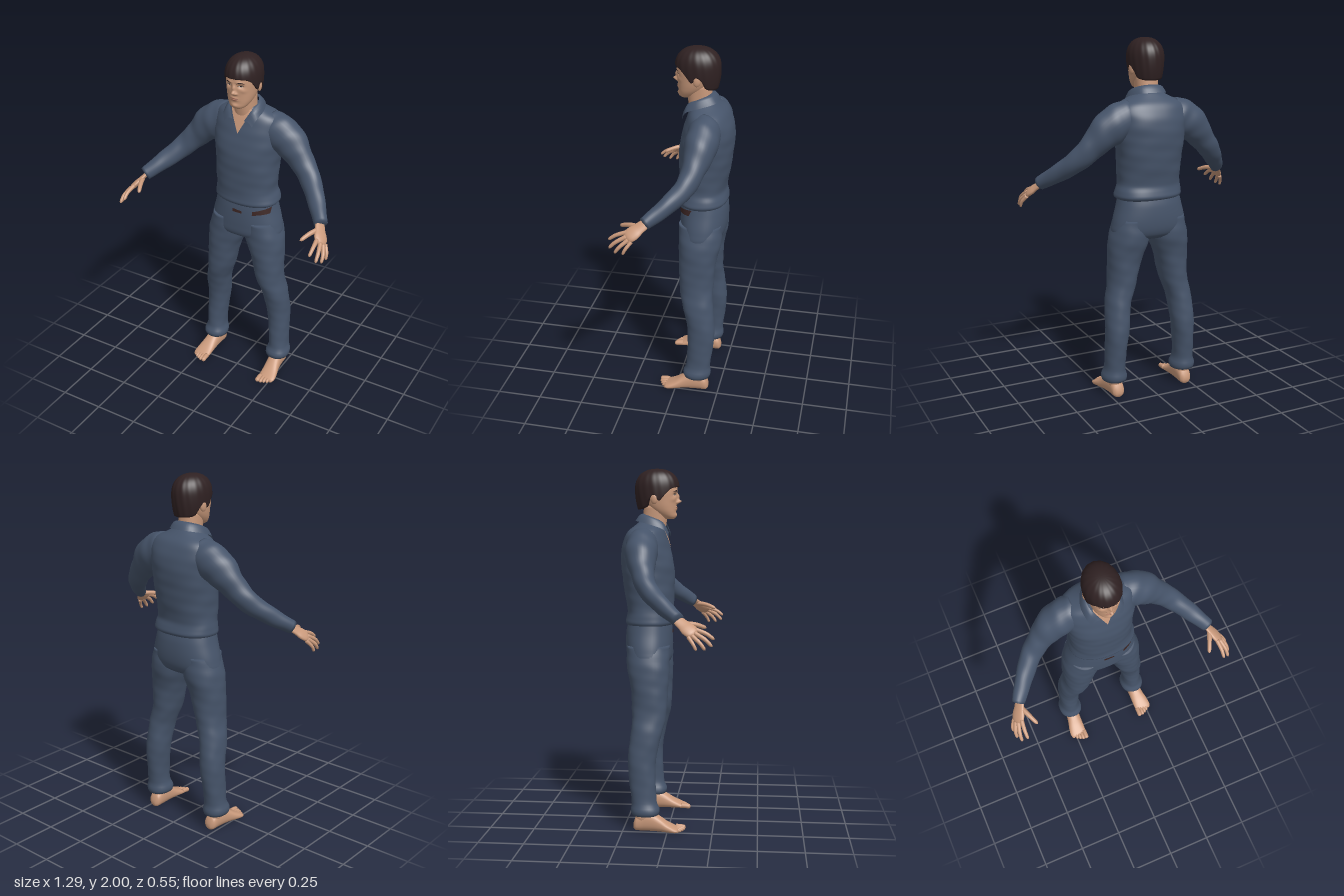
import * as THREE from 'three';

const paint = (name, color) => {
  const m = new THREE.MeshStandardMaterial({ color });
  m.name = name;
  return m;
};
const V = (x, y, z) => new THREE.Vector3(x, y, z);

// Smooth interpolation of rows [key, ...values], sorted by key
function spline(rows) {
  const slope = (i, c) => {
    const a = rows[Math.max(i - 1, 0)], b = rows[Math.min(i + 1, rows.length - 1)];
    return (b[c] - a[c]) / (b[0] - a[0]);
  };
  return (k) => {
    k = Math.min(Math.max(k, rows[0][0]), rows[rows.length - 1][0]);
    let i = 0;
    while (i < rows.length - 2 && k > rows[i + 1][0]) i++;
    const h = rows[i + 1][0] - rows[i][0], t = (k - rows[i][0]) / h, t2 = t * t, t3 = t2 * t;
    return rows[0].slice(1).map((_, j) => {
      const c = j + 1;
      return rows[i][c] * (2 * t3 - 3 * t2 + 1) + rows[i + 1][c] * (3 * t2 - 2 * t3)
        + h * (slope(i, c) * (t3 - 2 * t2 + t) + slope(i + 1, c) * (t3 - t2));
    });
  };
}

// Closed skin around rings given by fn(t, angle), with both ends capped
function skin(rows, n, fn) {
  const pos = [], idx = [], mid = [V(0, 0, 0), V(0, 0, 0)];
  for (let i = 0; i <= rows; i++) for (let j = 0; j < n; j++) {
    const p = fn(i / rows, (j / n) * Math.PI * 2);
    pos.push(p.x, p.y, p.z);
    if (i === 0) mid[0].addScaledVector(p, 1 / n);
    if (i === rows) mid[1].addScaledVector(p, 1 / n);
  }
  mid.forEach((p) => pos.push(p.x, p.y, p.z));
  const end = (rows + 1) * n;
  for (let j = 0; j < n; j++) {
    const k = (j + 1) % n;
    for (let i = 0; i < rows; i++) {
      const a = i * n + j, b = i * n + k;
      idx.push(a, b, a + n, b, b + n, a + n);
    }
    idx.push(end, k, j, end + 1, rows * n + j, rows * n + k);
  }
  return finish(pos, idx);
}
function finish(pos, idx) {
  const g = new THREE.BufferGeometry();
  g.setAttribute('position', new THREE.Float32BufferAttribute(pos, 3));
  g.setIndex(idx);
  g.computeVertexNormals();
  return g;
}
const round = (c, p) => Math.sign(c) * Math.abs(c) ** (2 / p);

// Upright body from rows [y, centreX, halfWidth, frontZ, backZ]
function body(rows, { s = 1, p = 2.3, n = 48, steps = 50, fold = 0, bump = () => 0 } = {}) {
  const at = spline(rows), y0 = rows[0][0], y1 = rows[rows.length - 1][0];
  const geometry = skin(steps, n, (t, a) => {
    const y = y0 + (y1 - y0) * t, [cx, rx, zf, zb] = at(y);
    const f = 1 + fold * (Math.sin(3 * a + 31 * y) + 0.7 * Math.sin(5 * a - 47 * y) + 0.5 * Math.sin(2 * a + 90 * y));
    const x = s * cx + rx * f * round(Math.cos(a), p), dz = -(zf - zb) / 2 * f * round(Math.sin(a), p);
    return V(x, y, (zf + zb) / 2 + dz + (dz > 0 ? bump(x, y) : 0));
  });
  const front = (x, y, off) => {
    const [cx, rx, zf, zb] = at(y), q = Math.min(1, Math.abs((x - cx) / (rx + off)));
    return (zf + zb) / 2 + ((zf - zb) / 2 + off) * (1 - q ** p) ** (1 / p) + bump(x, y);
  };
  return { geometry, front };
}

// Limb along points [x, y, z, radius]; side is the direction of its width
function limb(pts, { s = 1, side = [1, 1, 0], flat = 1, n = 14, steps = 16, tip = 0.15, fold = 0 } = {}) {
  const at = spline(pts.map((q, i) => [i / (pts.length - 1), s * q[0], q[1], q[2], q[3]]));
  const w = V(s * side[0], side[1], side[2]);
  return skin(steps, n, (t, a) => {
    const [x, y, z, r] = at(t), e = 0.01;
    const d = V(...at(Math.min(1, t + e)).slice(0, 3)).sub(V(...at(Math.max(0, t - e)).slice(0, 3))).normalize();
    const u = w.clone().addScaledVector(d, -w.dot(d)).normalize(), v = d.clone().cross(u);
    const k = tip && t > 1 - tip ? Math.sqrt(Math.max(0.01, 1 - ((t - 1 + tip) / tip) ** 2)) : 1;
    const f = r * k * (1 + fold * (Math.sin(2 * a + 40 * t) + 0.6 * Math.sin(3 * a - 27 * t)));
    return V(x, y, z).addScaledVector(u, f * Math.cos(a)).addScaledVector(v, f * flat * Math.sin(a));
  });
}

// Thin painted patch lying on a front surface
function patch(front, x0, x1, low, high, off = 0.003, nx = 16, ny = 10) {
  const g = new THREE.PlaneGeometry(1, 1, nx, ny), p = g.attributes.position;
  for (let i = 0; i < p.count; i++) {
    const t = p.getX(i) + 0.5, x = x0 + (x1 - x0) * t;
    const y = low(t, x) + (high(t, x) - low(t, x)) * (p.getY(i) + 0.5);
    p.setXYZ(i, x, y, front(x, y, off));
  }
  g.computeVertexNormals();
  return g;
}

export function createModel() {
  const cloth = paint('navy cloth', 0x46546a), flesh = paint('skin', 0xc9997b), dark = paint('dark hair', 0x2f2122);
  const leather = paint('belt leather', 0x3c2624), lip = paint('lips', 0xac7461), white = paint('eye white', 0xcfc4ba);
  cloth.side = THREE.DoubleSide;
  const model = new THREE.Group();
  const add = (name, geometry, material) => {
    const m = new THREE.Mesh(geometry, material);
    m.name = name;
    model.add(m);
    return m;
  };

  // Shirt body, blousing over the waist
  const shirt = body([[1.135, 0.005, 0.172, 0.0, -0.235], [1.15, 0.007, 0.19, 0.016, -0.254], [1.18, 0.005, 0.187, 0.014, -0.25],
    [1.22, 0, 0.177, 0.014, -0.242], [1.3, 0, 0.179, 0.018, -0.255], [1.4, 0, 0.185, 0.019, -0.27], [1.48, 0, 0.194, 0.014, -0.277],
    [1.56, 0, 0.2, -0.004, -0.275], [1.62, 0, 0.198, -0.022, -0.258], [1.66, 0, 0.175, -0.035, -0.235],
    [1.69, 0, 0.115, -0.045, -0.2], [1.715, 0, 0.07, -0.05, -0.17]], { n: 64, steps: 70, fold: 0.006 });
  add('shirt', shirt.geometry, cloth);
  add('openNeck', patch(shirt.front, -0.06, 0.06, (t, x) => 1.572 + Math.abs(x) * 2, () => 1.705, 0.006), flesh);

  // Folded collar, open at the front
  const edges = [
    [[0, 1.755, -0.152], [0.05, 1.75, -0.138], [0.077, 1.733, -0.09], [0.066, 1.708, -0.04], [0.036, 1.65, -0.008]],
    [[0, 1.715, -0.198], [0.07, 1.712, -0.178], [0.108, 1.693, -0.1], [0.102, 1.665, -0.03], [0.085, 1.625, -0.008]],
  ].map((e) => new THREE.CatmullRomCurve3([...e.slice(1).reverse().map(([x, y, z]) => V(-x, y, z)), ...e.map((q) => V(...q))]));
  const collar = new THREE.PlaneGeometry(1, 1, 40, 4), cp = collar.attributes.position;
  for (let i = 0; i < cp.count; i++) {
    const t = cp.getX(i) + 0.5, k = 0.5 - cp.getY(i);
    const q = edges[0].getPoint(t).lerp(edges[1].getPoint(t), k);
    cp.setXYZ(i, q.x, q.y + 0.012 * Math.sin(Math.PI * k), q.z);
  }
  collar.computeVertexNormals();
  add('collar', collar, cloth);

  // Trousers: seat, then the exposed pieces of belt
  const seat = body([[0.915, 0, 0.16, -0.03, -0.2], [0.94, 0, 0.212, 0, -0.232], [1, 0, 0.212, 0.008, -0.25],
    [1.1, 0, 0.187, 0.007, -0.25], [1.17, 0, 0.172, 0, -0.235]], { n: 56, steps: 24 });
  add('trouserSeat', seat.geometry, cloth);
  add('beltFront', patch(seat.front, -0.024, 0.034, () => 1.092, (t) => 1.112 - 0.006 * t, 0.004), leather);
  add('beltSide', patch(seat.front, 0.094, 0.178, (t) => 1.09 + 0.01 * t, (t) => 1.112 + 0.022 * t, 0.004), leather);

  for (const s of [1, -1]) {
    const tag = s > 0 ? 'left' : 'right';
    // Leg, ankle, foot and toes
    add(tag + 'TrouserLeg', body([[0.095, 0.217, 0.066, -0.05, -0.198], [0.12, 0.218, 0.072, -0.043, -0.204], [0.16, 0.218, 0.058, -0.06, -0.2],
      [0.25, 0.215, 0.057, -0.066, -0.21], [0.4, 0.205, 0.065, -0.066, -0.222], [0.55, 0.19, 0.07, -0.034, -0.207],
      [0.65, 0.163, 0.077, -0.012, -0.202], [0.8, 0.142, 0.094, -0.004, -0.212], [0.92, 0.118, 0.111, 0.002, -0.235],
      [1.03, 0.108, 0.09, 0, -0.235]], { s, p: 2.15, n: 40, steps: 64, fold: 0.01 }).geometry, cloth);
    add(tag + 'Ankle', body([[0.05, 0.217, 0.036, -0.085, -0.178], [0.16, 0.217, 0.04, -0.085, -0.175]], { s, n: 24, steps: 4 }).geometry, flesh);
    const sole = spline([[-0.19, 0.215, 0.018, 0.012, 0.045], [-0.18, 0.215, 0.033, 0.002, 0.075], [-0.13, 0.216, 0.039, 0, 0.11],
      [-0.085, 0.219, 0.041, 0, 0.108], [-0.04, 0.223, 0.044, 0, 0.082], [0, 0.228, 0.049, 0, 0.055], [0.04, 0.231, 0.051, 0, 0.034],
      [0.062, 0.229, 0.046, 0.003, 0.024]]);
    add(tag + 'Foot', skin(28, 28, (t, a) => {
      const z = -0.19 + 0.252 * t, [cx, rx, lo, hi] = sole(z);
      return V(s * cx + rx * round(Math.cos(a), 2.3), (lo + hi) / 2 + (hi - lo) / 2 * round(Math.sin(a), 2.3), z);
    }), flesh);
    [[0.192, 0.1, 0.014], [0.213, 0.097, 0.01], [0.231, 0.089, 0.0095], [0.248, 0.079, 0.009], [0.265, 0.066, 0.009]].forEach(([x, z, r], i) =>
      add(tag + 'Toe' + (i + 1), limb([[x, 0.02, z - 0.055, r], [x, 0.018, z - 0.025, r], [x, r, z, r]], { s, side: [1, 0, 0], tip: 0.25 }), flesh));

    // Sleeve, palm, thumb and fingers
    add(tag + 'Sleeve', limb([[0.11, 1.6, -0.145, 0.085], [0.17, 1.575, -0.143, 0.1], [0.25, 1.525, -0.138, 0.097], [0.325, 1.448, -0.122, 0.073],
      [0.4, 1.368, -0.088, 0.061], [0.48, 1.292, -0.008, 0.051], [0.558, 1.222, 0.088, 0.038]],
    { s, n: 32, steps: 60, flat: 0.88, tip: 0, fold: 0.016 }), cloth);
    const across = [0.04, -0.035, -0.045];
    add(tag + 'Palm', limb([[0.54, 1.235, 0.065, 0.027], [0.566, 1.2, 0.112, 0.033], [0.583, 1.178, 0.14, 0.04], [0.603, 1.152, 0.178, 0.036]],
      { s, side: across, flat: 0.42, n: 20, tip: 0.2 }), flesh);
    const fingers = [
      ['IndexFinger', [0.579, 1.178, 0.175], [0.584, 1.158, 0.23], [0.583, 1.128, 0.272], 0.0105],
      ['MiddleFinger', [0.598, 1.162, 0.172], [0.613, 1.132, 0.226], [0.616, 1.096, 0.262], 0.0105],
      ['RingFinger', [0.609, 1.15, 0.16], [0.63, 1.115, 0.202], [0.633, 1.08, 0.228], 0.01],
      ['LittleFinger', [0.614, 1.144, 0.142], [0.635, 1.11, 0.168], [0.638, 1.078, 0.184], 0.009],
      ['Thumb', [0.558, 1.205, 0.115], [0.533, 1.198, 0.172], [0.507, 1.178, 0.228], 0.0125],
    ];
    for (const [name, a, b, c, r] of fingers)
      add(tag + name, limb([[...a, r * 1.15], [...b, r], [...c, r * 0.8]], { s, side: across, n: 12 }), flesh);
  }

  // Neck and head, with the features raised from the face
  add('neck', body([[1.62, 0, 0.062, -0.04, -0.165], [1.7, 0, 0.06, -0.026, -0.158], [1.8, 0, 0.064, -0.015, -0.15]], { steps: 10 }).geometry, flesh);
  const dents = [[0, 1.821, 0.01, 0.011, 0.026], [0, 1.846, 0.008, 0.016, 0.014], [0.013, 1.815, 0.006, 0.006, 0.009],
    [0.034, 1.857, 0.015, 0.01, -0.011], [0.03, 1.879, 0.02, 0.006, 0.004], [0.05, 1.832, 0.014, 0.012, 0.004],
    [0, 1.784, 0.02, 0.01, 0.008], [0, 1.785, 0.02, 0.0025, -0.004], [0, 1.747, 0.018, 0.011, 0.007]];
  const bump = (x, y) => dents.reduce((sum, [bx, by, sx, sy, h]) =>
    sum + h * Math.exp(-(((Math.abs(x) - bx) / sx) ** 2) - ((y - by) / sy) ** 2), 0);
  const head = body([[1.724, 0, 0.026, 0.014, -0.035], [1.735, 0, 0.045, 0.025, -0.065], [1.76, 0, 0.063, 0.027, -0.1],
    [1.79, 0, 0.074, 0.029, -0.135], [1.83, 0, 0.081, 0.032, -0.16], [1.87, 0, 0.086, 0.035, -0.178], [1.92, 0, 0.085, 0.03, -0.183],
    [1.96, 0, 0.068, 0.01, -0.163], [1.985, 0, 0.03, -0.04, -0.12]], { p: 2.2, n: 128, steps: 90, bump });
  add('head', head.geometry, flesh);
  const arch = (y, h) => (t) => y + h * Math.sin(Math.PI * t);
  for (const s of [1, -1]) {
    const tag = s > 0 ? 'left' : 'right', around = (w) => [s * 0.035 - w, s * 0.035 + w];
    add(tag + 'Eye', patch(head.front, ...around(0.014), arch(1.857, -0.004), arch(1.857, 0.005), 0.002), white);
    add(tag + 'Iris', patch(head.front, ...around(0.005), arch(1.857, -0.004), arch(1.858, 0.004), 0.003), dark);
    add(tag + 'Lashes', patch(head.front, ...around(0.016), arch(1.857, 0.004), arch(1.8575, 0.006), 0.003), dark);
    add(tag + 'Eyebrow', patch(head.front, ...around(0.02), arch(1.872, 0.004), arch(1.873, 0.009), 0.002), dark);
    const ear = add(tag + 'Ear', new THREE.SphereGeometry(1, 16, 12), flesh);
    ear.scale.set(0.011, 0.031, 0.02);
    ear.position.set(s * 0.087, 1.836, -0.088);
    ear.rotation.set(-0.15, s * 0.25, 0);
  }
  add('upperLip', patch(head.front, -0.024, 0.024, () => 1.785, arch(1.786, 0.006), 0.001), lip);
  add('lowerLip', patch(head.front, -0.022, 0.022, arch(1.784, -0.008), () => 1.784, 0.001), lip);

  // Hair cap: fringe, sideburns, clear of the ears, low at the nape
  const edge = spline([[0, 1.9], [0.5, 1.898], [0.9, 1.885], [1.2, 1.85], [1.42, 1.825], [1.65, 1.855], [1.9, 1.83], [2.15, 1.79], [3.15, 1.778]]);
  add('hair', skin(34, 96, (t, a) => {
    const rim = edge(Math.acos(Math.max(-1, Math.min(1, -Math.sin(a)))))[0];
    const y = rim + (2 - rim) * Math.sin(Math.max(0, t - 1 / 34) / (33 / 34) * Math.PI / 2);
    const h = (y - 1.89) / 0.11;
    let r = h > 0 ? Math.max(0, 1 - h ** 2.3) ** (1 / 2.3) : 1 - 0.13 * h * h;
    r *= (t === 0 ? 0.86 : 1) * (1 + 0.008 * Math.sin(17 * a + 20 * y));
    return V(0.097 * r * Math.cos(a), y, -0.077 - 0.123 * r * Math.sin(a));
  }), dark);
  return model;
}
